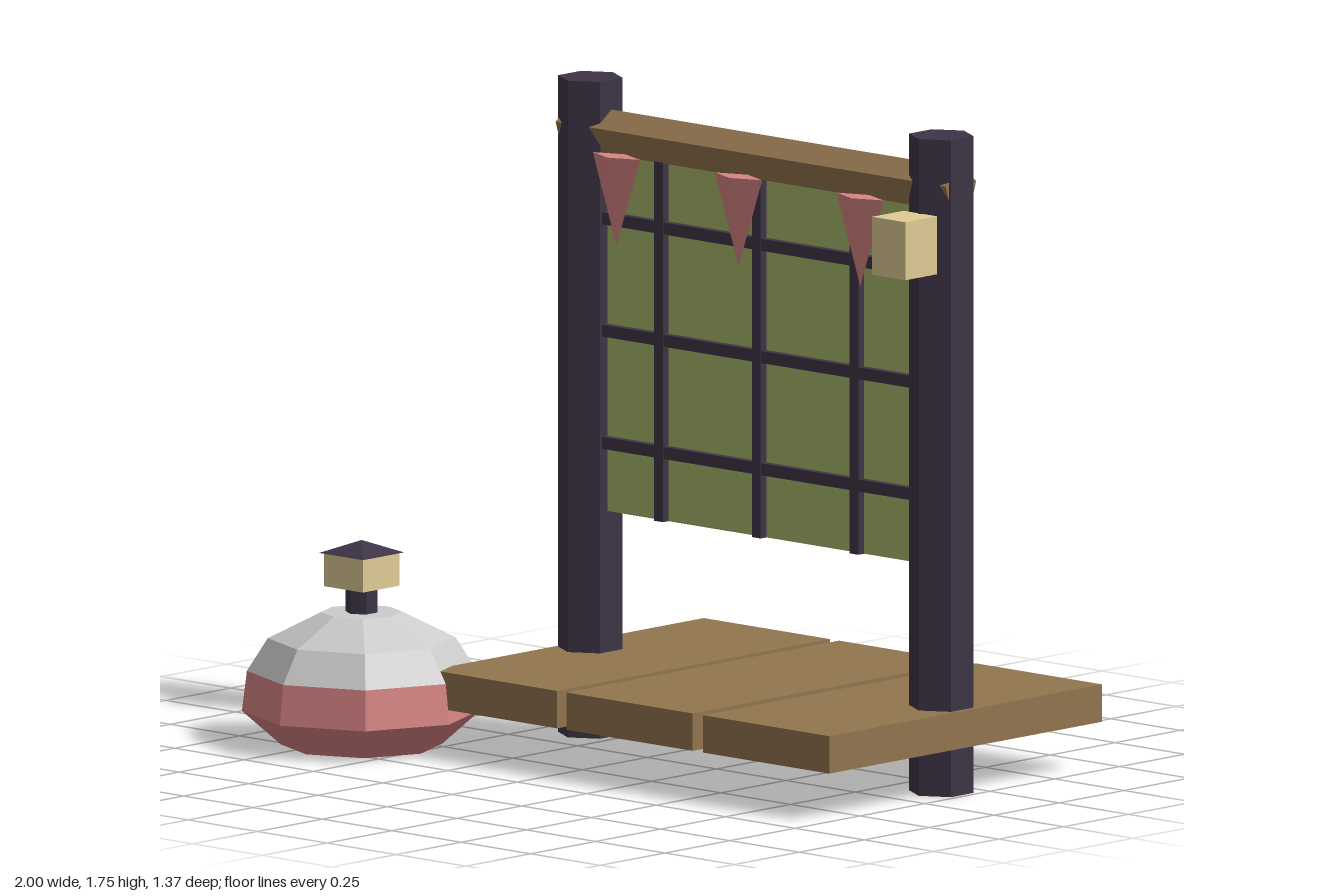
import * as THREE from 'three';

const paint = (color) => new THREE.MeshStandardMaterial({ color, flatShading: true });

export function createModel() {
  const model = new THREE.Group();
  const dark = paint(0x3d3446), wood = paint(0x92754f), green = paint(0xa8b66a);
  const pink = paint(0xd88484), cream = paint(0xe0cc94), grey = paint(0xcccccc);

  const add = (parent, name, geometry, material, x, y, z) => {
    const mesh = new THREE.Mesh(geometry, material);
    mesh.name = name;
    mesh.position.set(x, y, z);
    parent.add(mesh);
    return mesh;
  };
  const box = (w, h, d) => new THREE.BoxGeometry(w, h, d);

  // Deck of three planks
  for (const x of [-0.21, 0.278, 0.77]) {
    add(model, 'plank', box(0.455, 0.1, 1.05), wood, x, 0.178, -0.16);
  }

  // Six-sided posts, standing on the ground
  const zPost = -0.16;
  for (const x of [-0.354, 0.91]) {
    add(model, 'post', new THREE.CylinderGeometry(0.087, 0.087, 1.755, 6), dark, x, 0.8775, zPost);
  }

  // Five-sided beam with one edge up, its ends just inside the outer faces of the posts
  const beam = new THREE.CylinderGeometry(0.062, 0.062, 1.405, 5);
  beam.rotateZ(Math.PI / 2).rotateX(-Math.PI / 2);
  add(model, 'beam', beam, wood, 0.278, 1.614, zPost);

  // Screen panel with a lattice on its front
  const screen = new THREE.Group();
  screen.name = 'screen';
  model.add(screen);
  add(screen, 'panel', box(1.13, 0.985, 0.03), green, 0.278, 1.0975, zPost);
  for (const x of [-0.074, 0.278, 0.63]) {
    add(screen, 'verticalBar', box(0.032, 0.985, 0.03), dark, x, 1.0975, zPost + 0.022);
  }
  for (const y of [0.79, 1.09, 1.39]) {
    add(screen, 'horizontalBar', box(1.13, 0.032, 0.03), dark, 0.278, y, zPost + 0.021);
  }

  // Hanging pennants: flattened upside-down pyramids
  const pennant = new THREE.ConeGeometry(0.085, 0.24, 4).rotateX(Math.PI).scale(1, 1, 0.4);
  for (const x of [-0.162, 0.278, 0.716]) {
    add(model, 'pennant', pennant, pink, x, 1.46, -0.055);
  }

  // Lamp on the front of the left post
  add(model, 'postLamp', box(0.12, 0.155, 0.122), cream, 0.91, 1.478, -0.018);

  // Eight-sided squat pot with a small lantern on top
  const pot = new THREE.Group();
  pot.name = 'pot';
  pot.position.set(-0.685, 0, 0.367);
  model.add(pot);
  const lathe = (profile) =>
    new THREE.LatheGeometry(profile.map(([r, y]) => new THREE.Vector2(r, y)), 8);
  add(pot, 'potBase', lathe([[0, 0], [0.213, 0], [0.315, 0.09], [0.302, 0.197]]), pink, 0, 0, 0);
  add(pot, 'potDome', lathe([[0.302, 0.197], [0.247, 0.284], [0.107, 0.353], [0, 0.353]]), grey, 0, 0, 0);
  add(pot, 'neck', new THREE.CylinderGeometry(0.043, 0.043, 0.1, 6), dark, 0, 0.385, 0);
  add(pot, 'lantern', box(0.14, 0.09, 0.14), cream, 0, 0.467, 0);
  const roof = new THREE.ConeGeometry(0.112, 0.034, 4).rotateY(Math.PI / 4);
  add(pot, 'lanternRoof', roof, dark, 0, 0.528, 0);

  return model;
}
